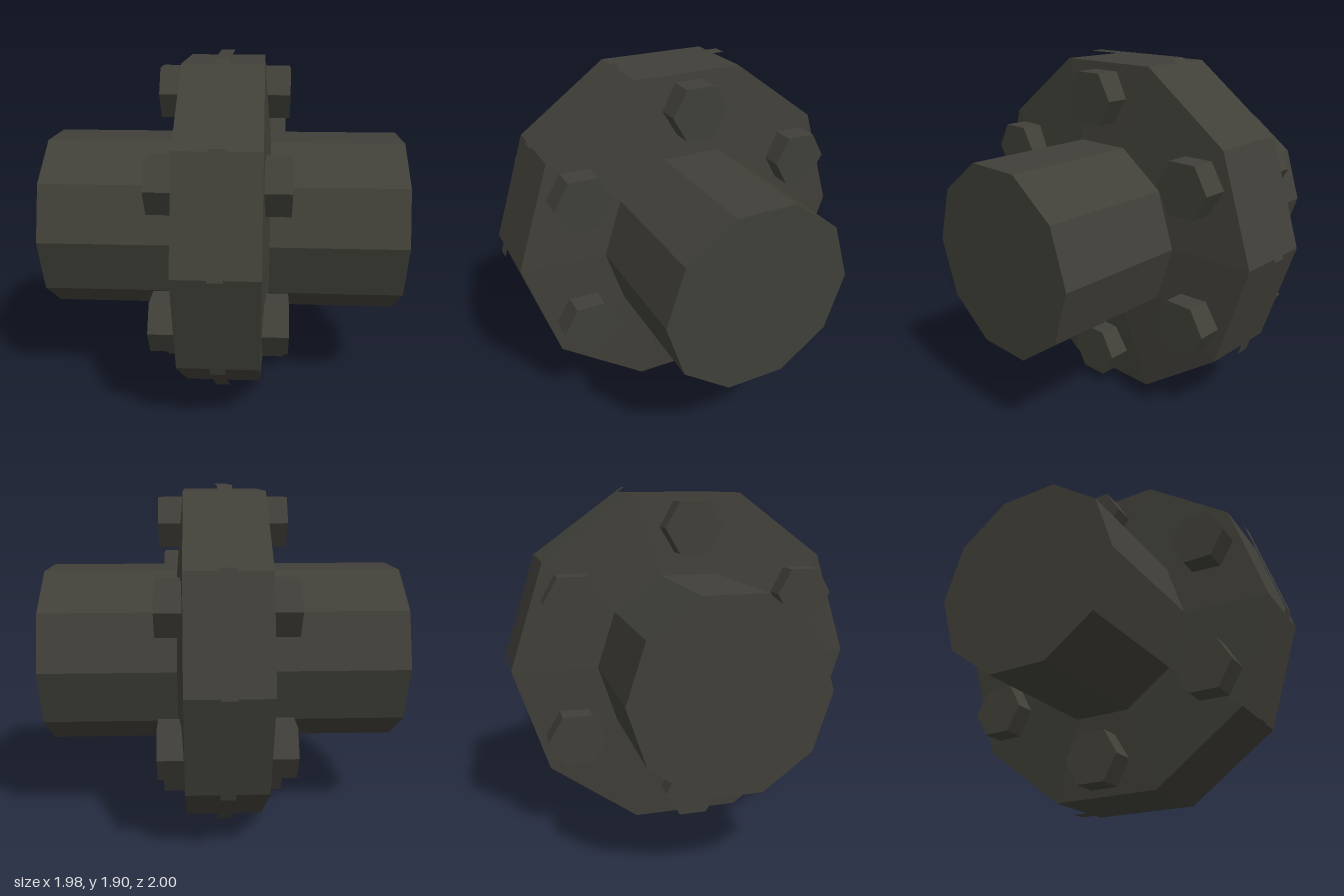
import * as THREE from 'three';

const AXIS_Y = 0.951;   // height of the shaft axis
const SIDES = 10;

export function createModel() {
  const darkMetal = new THREE.MeshStandardMaterial({ color: 0x403f38, flatShading: true });
  const model = new THREE.Group();
  model.name = 'flangeCoupling';

  // Prism or frustum lying along x, from x0 (radius r0) to x1 (radius r1)
  function addAlongX(parent, name, x0, x1, r0, r1, sides, open) {
    const geo = new THREE.CylinderGeometry(r1, r0, x1 - x0, sides, 1, open);
    geo.rotateZ(-Math.PI / 2);
    const mesh = new THREE.Mesh(geo, darkMetal);
    mesh.name = name;
    mesh.position.x = (x0 + x1) / 2;
    parent.add(mesh);
    return mesh;
  }

  const body = new THREE.Group();
  body.name = 'couplingBody';
  body.position.y = AXIS_Y;
  model.add(body);

  // Flange rim and the thin open band around its joint
  addAlongX(body, 'flangeRim', -0.217, 0.217, 0.97, 0.97, SIDES, true);
  addAlongX(body, 'jointBand', -0.04, 0.04, 1.0, 1.0, SIDES, true);

  // Each side: sloped flange face, hub and a ring of six hex bolts
  for (const side of ['left', 'right']) {
    const half = new THREE.Group();
    half.name = side + 'Half';
    if (side === 'right') half.rotation.y = Math.PI;
    body.add(half);

    addAlongX(half, 'flangeFace', 0.217, 0.257, 0.97, 0.5, SIDES, true);
    addAlongX(half, 'hub', 0.2, 0.988, 0.512, 0.512, SIDES, false);

    for (let i = 0; i < 6; i++) {
      const a = (i * Math.PI) / 3;
      const bolt = addAlongX(half, 'hexBolt', 0.2, 0.357, 0.157, 0.157, 6, false);
      bolt.position.y = 0.745 * Math.cos(a);
      bolt.position.z = 0.745 * Math.sin(a);
    }
  }
  return model;
}
